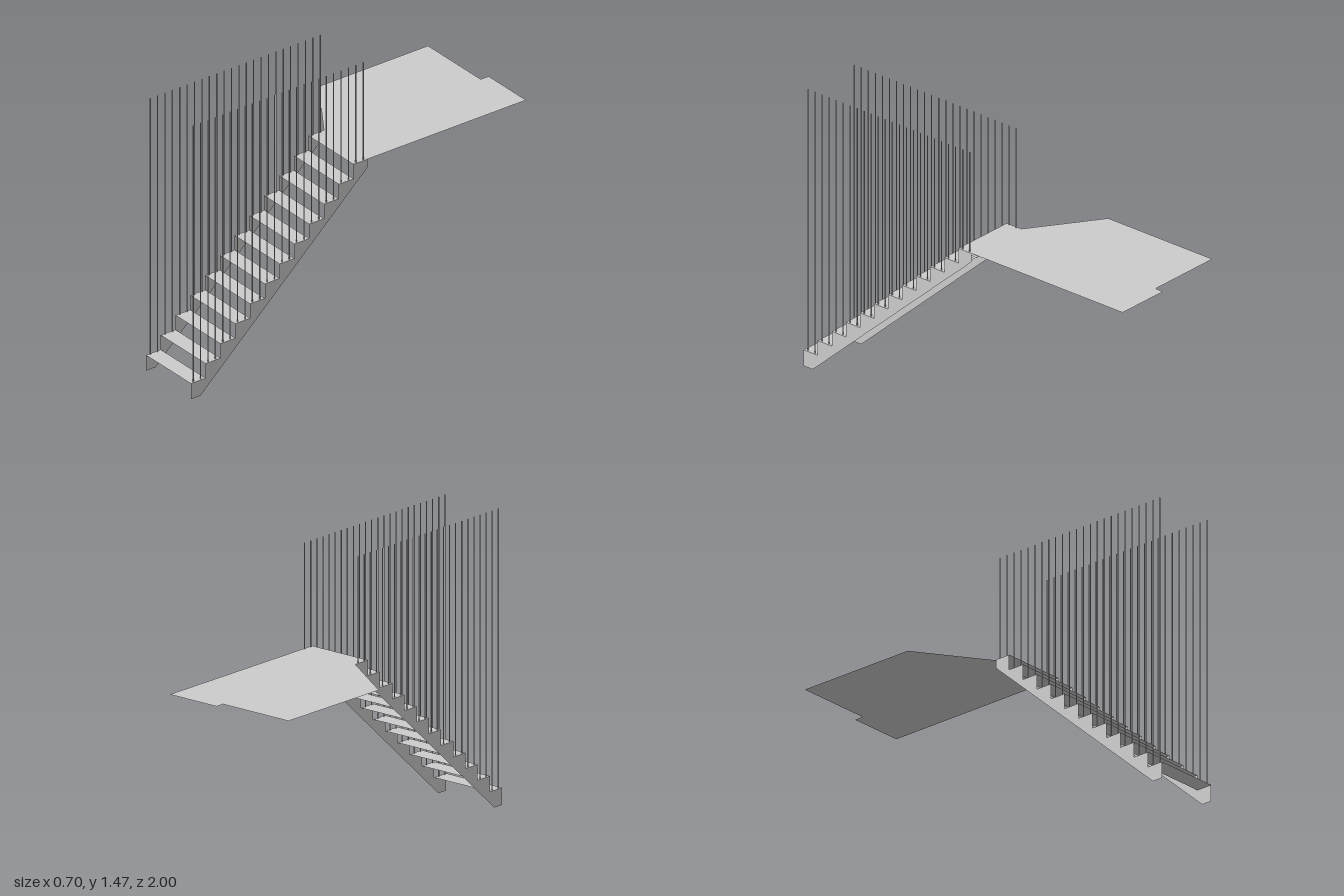
import * as THREE from 'three';

const STEPS = 12, RUN = 0.0882, RISE = 0.0782, FIRST = 0.085;
const WIDTH = 0.35, TOP = FIRST + RISE * (STEPS - 1), BACK = -0.053, ROD_TOP = 1.473;

const stepY = (i) => FIRST + i * RISE;
const stepZ = (i) => 1 - i * RUN; // front edge of each step

export function createModel() {
  const model = new THREE.Group();
  const sheet = new THREE.MeshStandardMaterial({ color: 0xcccccc, side: THREE.DoubleSide });
  const solid = new THREE.MeshStandardMaterial({ color: 0xcccccc, flatShading: true });

  const add = (name, geometry, material, x = 0, y = 0, z = 0) => {
    const mesh = new THREE.Mesh(geometry, material);
    mesh.name = name;
    mesh.position.set(x, y, z);
    model.add(mesh);
  };
  const shapeOf = (points) => new THREE.Shape(points.map(([a, b]) => new THREE.Vector2(a, b)));

  // Saw-toothed stringers, drawn in (z, y) and turned to face sideways
  const profile = [[0.943, 0], [1, 0]];
  for (let i = 0; i < STEPS; i++) {
    profile.push([stepZ(i), stepY(i)]);
    profile.push(i < STEPS - 1 ? [stepZ(i + 1), stepY(i)] : [BACK, TOP]);
  }
  profile.push([BACK, 0.9]);
  const stringer = new THREE.ShapeGeometry(shapeOf(profile)).rotateY(-Math.PI / 2);
  add('rightStringer', stringer, sheet, 0);
  add('leftStringer', stringer, sheet, WIDTH);

  // Open treads; the landing forms the last step
  const tread = new THREE.PlaneGeometry(WIDTH, RUN).rotateX(-Math.PI / 2);
  for (let i = 0; i < STEPS - 1; i++) {
    add('tread', tread, sheet, WIDTH / 2, stepY(i), stepZ(i) - RUN / 2);
  }

  // Landing, outlined in (x, z)
  const outline = [
    [0, stepZ(STEPS - 1)], [WIDTH, stepZ(STEPS - 1)], [WIDTH, -1], [0.058, -1],
    [0.058, -0.953], [-0.353, -0.953], [-0.353, -0.3], [0, -0.062],
  ].map(([x, z]) => [x, -z]);
  add('landing', new THREE.ShapeGeometry(shapeOf(outline)).rotateX(-Math.PI / 2), sheet, 0, TOP);

  // Two slim balusters per step on each side, all ending level
  for (let i = 0; i < STEPS; i++) {
    const height = ROD_TOP - stepY(i);
    const rod = new THREE.BoxGeometry(0.004, height, 0.004);
    for (const offset of [0.02, 0.02 + RUN / 2]) {
      for (const [name, x] of [['rightBaluster', 0.007], ['leftBaluster', 0.342]]) {
        add(name, rod, solid, x, stepY(i) + height / 2, stepZ(i) - offset);
      }
    }
  }
  return model;
}
